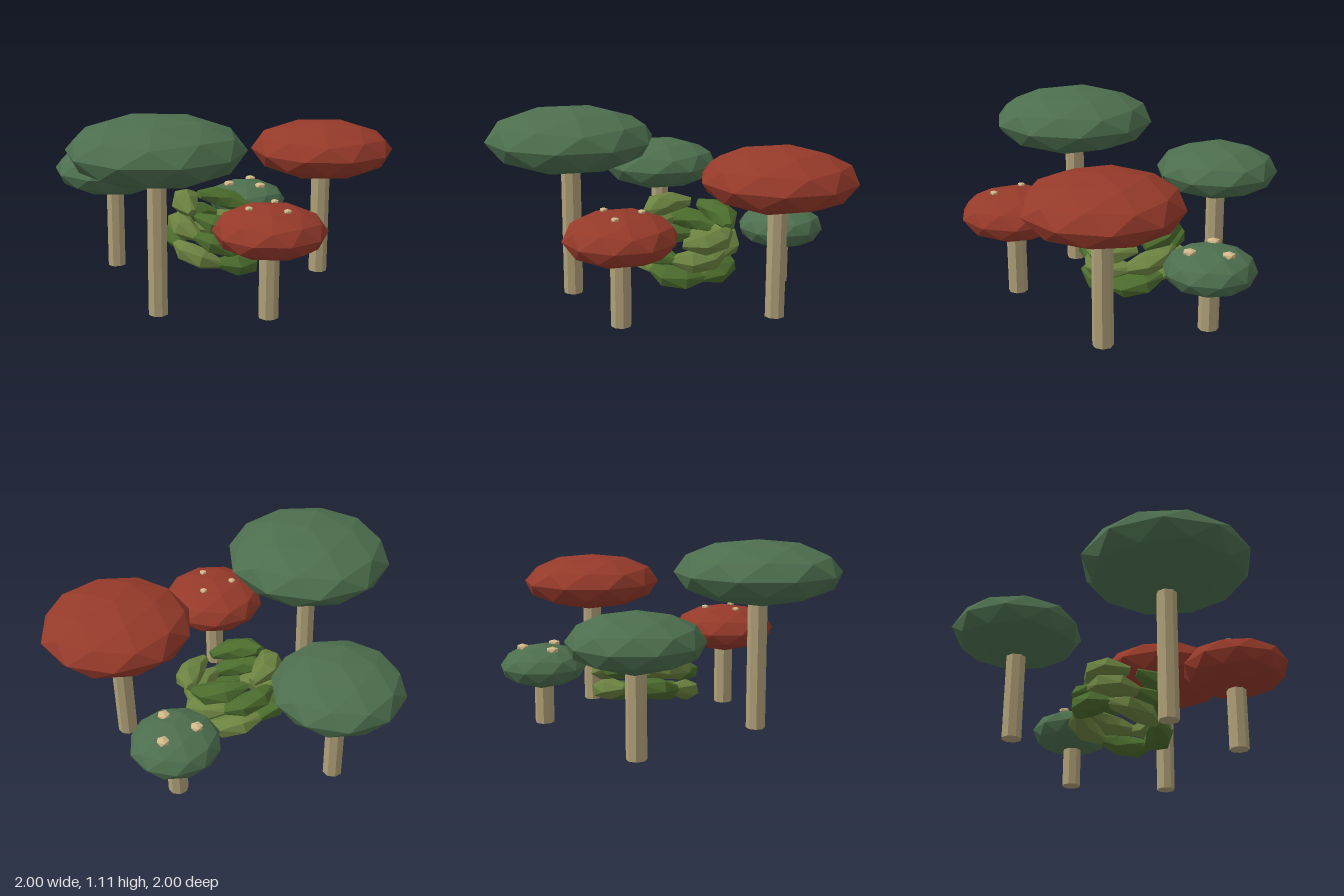
import * as THREE from 'three';

const mat = (color) => new THREE.MeshStandardMaterial({ color, flatShading: true });
const GREEN = mat(0x4d6f4e), RED = mat(0x963a2a), STEM = mat(0xb0a078), SPOT = mat(0xd2b98a);
const LEAVES = [mat(0x4b6c2d), mat(0x6b8240)];

// Icosphere standing on a vertex, so that its equator is a regular decagon
function icosphere(detail) {
  const g = new THREE.IcosahedronGeometry(1, detail);
  g.rotateX(-Math.atan2((1 + Math.sqrt(5)) / 2, 1));
  g.rotateY(Math.PI / 2);
  return g;
}

function addMesh(parent, name, geometry, material, x, y, z) {
  const m = new THREE.Mesh(geometry, material);
  m.name = name;
  m.position.set(x, y, z);
  parent.add(m);
  return m;
}

// One mushroom: straight stem, flattened cap, optional ring of three spots
function mushroom({ x, z, y, r, h, material, spot = 0 }) {
  const g = new THREE.Group();
  g.name = 'mushroom';
  g.position.set(x, 0, z);
  addMesh(g, 'stem', new THREE.CylinderGeometry(0.057, 0.057, y, 8), STEM, 0, y / 2, 0);
  addMesh(g, 'cap', icosphere(1), material, 0, y, 0).scale.set(r, h, r);
  for (let i = 0; spot && i < 3; i++) {
    const a = Math.PI / 2 + 0.08 + (i * Math.PI * 2) / 3, d = 0.12;
    const top = y + h * Math.sqrt(1 - (d / r) ** 2);
    addMesh(g, 'spot', icosphere(0), SPOT, d * Math.cos(a), top, -d * Math.sin(a))
      .scale.set(spot, spot * 0.55, spot);
  }
  return g;
}

// Chunky leaf: a six-sided spindle bent along an arc of the wreath
function leafGeometry(radius, span, width, height, twist) {
  const g = new THREE.CylinderGeometry(1, 1, 1, 6, 3);
  const p = g.attributes.position;
  for (let i = 0; i < p.count; i++) {
    const u = p.getY(i);
    const k = Math.abs(u) > 0.4 ? 0.4 : 1;
    const a = Math.atan2(p.getZ(i), p.getX(i)) + twist * u;
    const len = Math.hypot(p.getX(i), p.getZ(i)) * k;
    const rr = radius + Math.cos(a) * len * width;
    const t = u * span;
    p.setXYZ(i, rr * Math.cos(t), Math.sin(a) * len * height, -rr * Math.sin(t));
  }
  // The bend reverses handedness when the section runs this way, so check and flip
  const ia = g.index.array;
  const v = [0, 1, 2].map((j) => new THREE.Vector3().fromBufferAttribute(p, ia[j]));
  const n = v[1].clone().sub(v[0]).cross(v[2].clone().sub(v[0]));
  const c = v[0].clone().add(v[1]).add(v[2]).divideScalar(3);
  const tc = Math.atan2(-c.z, c.x);
  const axis = new THREE.Vector3(radius * Math.cos(tc), 0, -radius * Math.sin(tc));
  if (n.dot(c.sub(axis)) < 0) {
    for (let i = 0; i < ia.length; i += 3) [ia[i + 1], ia[i + 2]] = [ia[i + 2], ia[i + 1]];
  }
  g.computeVertexNormals();
  return g;
}

// Three tilted tiers of leaves around an open middle
function wreath() {
  const g = new THREE.Group();
  g.name = 'leafWreath';
  g.position.set(0.05, 0.315, -0.14);
  g.rotation.z = -0.28;
  const counts = [5, 5, 4];
  counts.forEach((n, tier) => {
    for (let i = 0; i < n; i++) {
      const leaf = addMesh(g, 'leaf', leafGeometry(0.245, 1.4, 0.082, 0.06, 0.9),
        LEAVES[(i + tier) % 2], 0, (tier - 1) * 0.115, 0);
      leaf.rotation.y = (i / n) * Math.PI * 2 + tier * 0.55 + 0.8;
    }
  });
  return g;
}

export function createModel() {
  const model = new THREE.Group();
  model.name = 'mushroomCluster';
  [
    { x: -0.08, z: 0.513, y: 0.925, r: 0.485, h: 0.185, material: GREEN },
    { x: -0.647, z: -0.17, y: 0.635, r: 0.371, h: 0.156, material: GREEN },
    { x: 0.59, z: -0.497, y: 0.78, r: 0.43, h: 0.17, material: RED },
    { x: 0.507, z: 0.355, y: 0.493, r: 0.313, h: 0.142, material: RED, spot: 0.024 },
    { x: 0.04, z: -0.745, y: 0.35, r: 0.256, h: 0.126, material: GREEN, spot: 0.038 },
  ].forEach((m) => model.add(mushroom(m)));
  model.add(wreath());
  return model;
}
